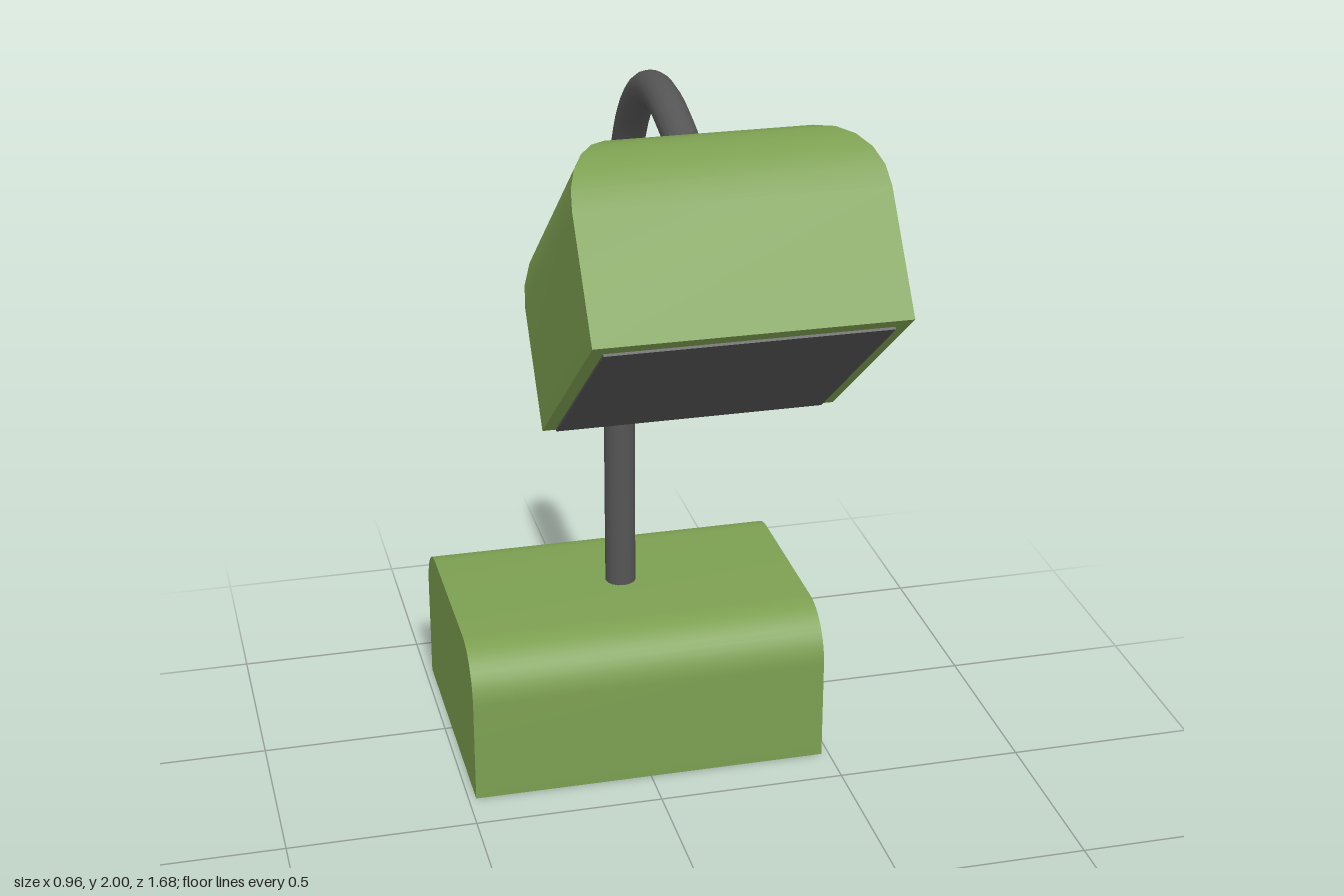
import * as THREE from 'three';
import { toCreasedNormals } from 'three/addons/utils/BufferGeometryUtils.js';

const green = new THREE.MeshStandardMaterial({ color: 0x7c9f51 });
const grey = new THREE.MeshStandardMaterial({ color: 0x555555 });

function addMesh(parent, name, geometry, material) {
  const mesh = new THREE.Mesh(geometry, material);
  mesh.name = name;
  parent.add(mesh);
  return mesh;
}

// Block with a rounded-top profile, extruded sideways
function baseGeometry(half, height, r, width) {
  const s = new THREE.Shape();
  s.moveTo(-half, 0);
  s.lineTo(half, 0);
  s.lineTo(half, height - r);
  s.absarc(half - r, height - r, r, 0, Math.PI / 2, false);
  s.lineTo(-half + r, height);
  s.absarc(-half + r, height - r, r, Math.PI / 2, Math.PI, false);
  s.lineTo(-half, 0);
  const g = new THREE.ExtrudeGeometry(s, { depth: width, bevelEnabled: false, curveSegments: 6 });
  g.translate(0, 0, -width / 2).rotateY(Math.PI / 2);
  return toCreasedNormals(g, 0.4);
}

// Square-section shade: each side sweeps a profile of [half width, height]
function shadeGeometry(half, height, inset, drop, steps = 6) {
  const profile = [[0, 0], [half, 0]];
  for (let i = 0; i <= steps; i++) {
    const a = (i / steps) * Math.PI / 2;
    profile.push([half - inset + inset * Math.cos(a), height - drop + drop * Math.sin(a)]);
  }
  profile.push([0, height]);
  const pos = [];
  const up = new THREE.Vector3(0, 1, 0);
  for (let side = 0; side < 4; side++) {
    const put = (x, y, z) =>
      pos.push(...new THREE.Vector3(x, y, z).applyAxisAngle(up, side * Math.PI / 2).toArray());
    for (let j = 0; j < profile.length - 1; j++) {
      const [h0, y0] = profile[j];
      const [h1, y1] = profile[j + 1];
      if (h0 > 0) { put(-h0, y0, h0); put(h0, y0, h0); put(h1, y1, h1); }
      if (h1 > 0) { put(-h0, y0, h0); put(h1, y1, h1); put(-h1, y1, h1); }
    }
  }
  const g = new THREE.BufferGeometry();
  g.setAttribute('position', new THREE.Float32BufferAttribute(pos, 3));
  return toCreasedNormals(g, 0.4);
}

export function createModel() {
  const lamp = new THREE.Group();
  lamp.name = 'deskLamp';

  // Base
  addMesh(lamp, 'base', baseGeometry(0.36, 0.42, 0.14, 0.96), green).position.z = -0.48;

  // Curved neck
  const path = new THREE.CatmullRomCurve3([
    [0.38, -0.48], [0.7, -0.48], [1.0, -0.478], [1.25, -0.468], [1.45, -0.445], [1.63, -0.395],
    [1.78, -0.32], [1.885, -0.215], [1.935, -0.1], [1.94, 0.02], [1.912, 0.14], [1.865, 0.27],
  ].map(([y, z]) => new THREE.Vector3(0, y, z)));
  addMesh(lamp, 'neck', new THREE.TubeGeometry(path, 48, 0.042, 16, false), grey);

  // Tilted head with its light panel
  const head = new THREE.Group();
  head.name = 'head';
  head.position.set(0, 1.4525, 0.5575);
  head.rotation.x = -0.656;
  addMesh(head, 'shade', shadeGeometry(0.3565, 0.505, 0.16, 0.2), green);
  addMesh(head, 'lightPanel', new THREE.BoxGeometry(0.65, 0.02, 0.66), grey).position.set(0, 0.004, -0.02);
  lamp.add(head);

  return lamp;
}
